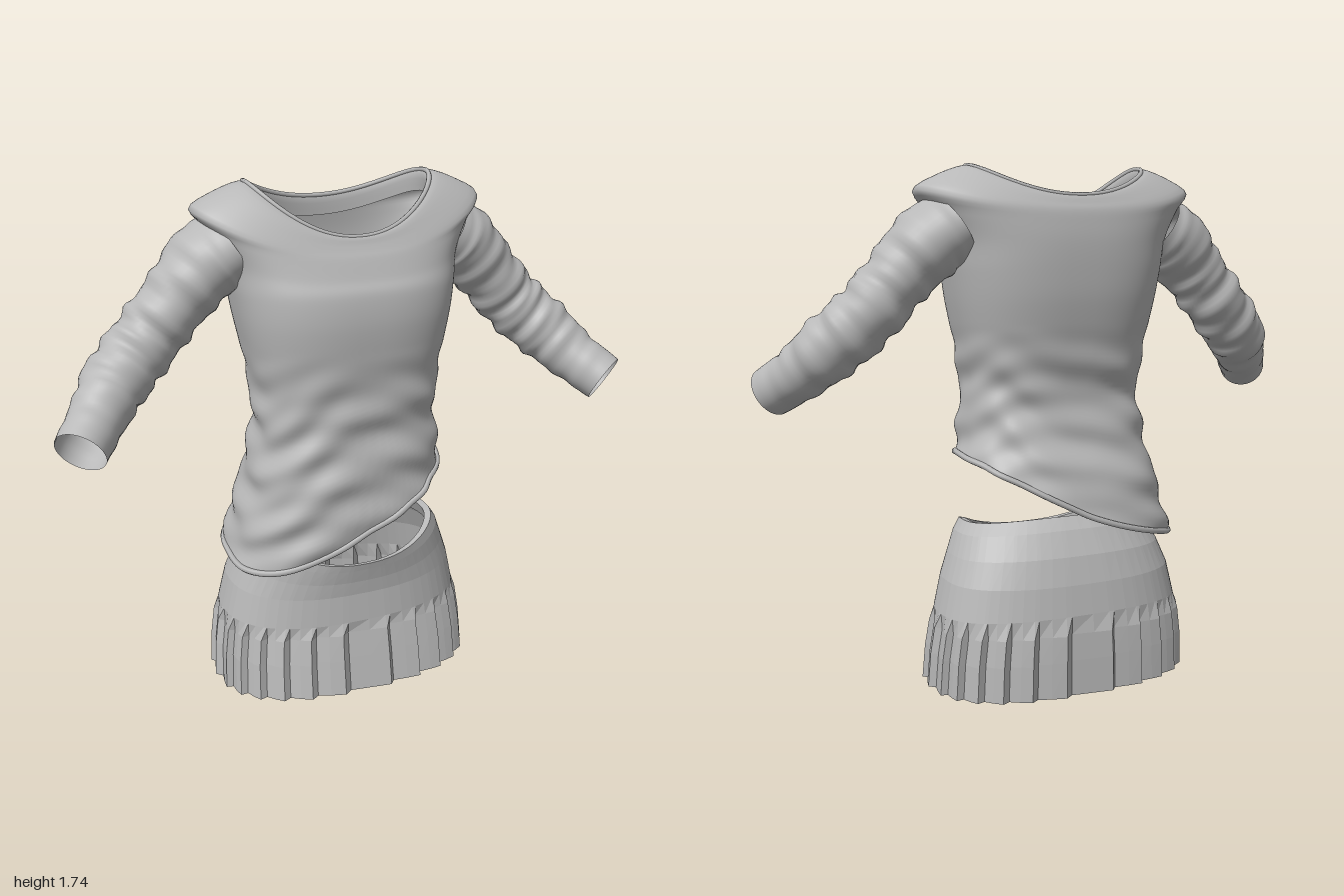
import * as THREE from 'three';

const fabric = new THREE.MeshStandardMaterial({ color: 0xb8b8b8, side: THREE.DoubleSide });
fabric.name = 'grey fabric';
const skirtFabric = fabric.clone();
skirtFabric.name = 'grey pleated fabric';
skirtFabric.flatShading = true;

// Skin closed rings of points, listed bottom to top
function loft(name, rings, material) {
  const n = rings[0].length, pos = [], idx = [];
  rings.forEach(r => r.forEach(p => pos.push(p.x, p.y, p.z)));
  for (let i = 0; i < rings.length - 1; i++) {
    for (let j = 0; j < n; j++) {
      const k = (j + 1) % n, a = i * n + j, b = i * n + k;
      idx.push(a, a + n, b, b, a + n, b + n);
    }
  }
  const g = new THREE.BufferGeometry();
  g.setAttribute('position', new THREE.Float32BufferAttribute(pos, 3));
  g.setIndex(idx);
  g.computeVertexNormals();
  const m = new THREE.Mesh(g, material);
  m.name = name;
  return m;
}

// Smooth interpolation through rows keyed by their first value
function sample(rows, t) {
  let i = 0;
  while (i < rows.length - 2 && t > rows[i + 1][0]) i++;
  const at = k => rows[Math.min(Math.max(k, 0), rows.length - 1)];
  const p0 = at(i - 1), p1 = at(i), p2 = at(i + 1), p3 = at(i + 2), h = p2[0] - p1[0];
  const u = Math.min(Math.max((t - p1[0]) / h, 0), 1), u2 = u * u, u3 = u2 * u;
  return p1.map((v, k) => {
    const m1 = (p2[k] - p0[k]) / (p2[0] - p0[0]) * h, m2 = (p3[k] - p1[k]) / (p3[0] - p1[0]) * h;
    return (2 * u3 - 3 * u2 + 1) * v + (u3 - 2 * u2 + u) * m1 + (3 * u2 - 2 * u3) * p2[k] + (u3 - u2) * m2;
  });
}

const spow = (v, e) => Math.sign(v) * Math.abs(v) ** e;

// Point on a section: half width, side height, front y/z, back y/z, roundness
function sectionPoint([, X, yS, yF, zF, yB, zB, e], a, bump = 0) {
  const c = Math.cos(a), s = Math.sin(a), mid = (zF + zB) / 2, half = (zF - zB) / 2 + bump;
  return new THREE.Vector3((X + bump) * spow(c, e), yS + ((s > 0 ? yF : yB) - yS) * s * s, mid + half * spow(s, e));
}

const level = (y, X, zF, zB, e = 0.75) => [y, X, y, y, zF, y, zB, e];
const bodice = [
  level(0.40, 0.405, 0.27, -0.27), level(0.52, 0.39, 0.28, -0.285), level(0.60, 0.37, 0.285, -0.285),
  level(0.75, 0.335, 0.285, -0.24), level(0.95, 0.305, 0.27, -0.18), level(1.10, 0.315, 0.275, -0.195),
  level(1.30, 0.355, 0.29, -0.228), level(1.40, 0.372, 0.28, -0.235),
  [1.50, 0.39, 1.50, 1.45, 0.255, 1.49, -0.235, 0.78],
  [1.60, 0.445, 1.60, 1.51, 0.228, 1.56, -0.228, 0.85],
  [1.65, 0.485, 1.655, 1.53, 0.216, 1.59, -0.222, 0.9],
  [1.70, 0.41, 1.70, 1.55, 0.205, 1.61, -0.212, 0.9],
  [1.75, 0.325, 1.73, 1.57, 0.195, 1.635, -0.198, 0.95],
  [1.78, 0.30, 1.72, 1.565, 0.18, 1.63, -0.185, 0.95],
  [1.83, 0.305, 1.66, 1.52, 0.185, 1.57, -0.185, 0.95],
];

// Slanted hem height
const hem = (x, z) => 0.605 + 0.5 * x + (x < 0 ? 0.35 * x * x + 0.3 * x * z : 0);

function bodicePoint(a, v) {
  const joint = 1.25;
  let lv = v;
  if (v < joint) {
    const h = hem(0.36 * spow(Math.cos(a), 0.75), 0.27 * spow(Math.sin(a), 0.75));
    lv = h + (joint - h) * (v - 0.6) / (joint - 0.6);
  }
  const w = Math.max(0, Math.min(1, (1.22 - lv) / 0.2));
  const x = Math.cos(a), fold = Math.sin(34 * lv - 5 * x + 1.6 * Math.sin(3 * a)) + 0.5 * Math.sin(55 * lv + 4 * Math.sin(2 * a + 1));
  return sectionPoint(sample(bodice, lv), a, 0.007 * w * fold);
}

const N = 96;
const angles = Array.from({ length: N }, (_, j) => j / N * Math.PI * 2);

function makeBodice() {
  const g = new THREE.Group(), rings = [];
  g.name = 'shirt';
  for (let i = 0; i <= 80; i++) rings.push(angles.map(a => bodicePoint(a, 0.6 + 1.23 * i / 80)));
  g.add(loft('bodice', rings, fabric));
  // Rolled hem and neck edging
  const edges = [['hemEdge', 0.6, 0.011], ['neckEdge', 1.765, 0.008]];
  for (const [name, v, r] of edges) {
    const curve = new THREE.CatmullRomCurve3(angles.map(a => bodicePoint(a, v)), true);
    const m = new THREE.Mesh(new THREE.TubeGeometry(curve, 140, r, 6, true), fabric);
    m.name = name;
    g.add(m);
  }
  return g;
}

// Sleeve stations: t, centre x y z, radius in the arm plane, radius in depth
const sleeveRows = [
  [0, 0.37, 1.535, -0.01, 0.115, 0.15], [0.15, 0.445, 1.485, -0.01, 0.122, 0.15],
  [0.32, 0.545, 1.38, 0, 0.108, 0.118], [0.5, 0.65, 1.26, 0.005, 0.107, 0.108],
  [0.7, 0.765, 1.15, 0.06, 0.104, 0.105], [0.84, 0.835, 1.075, 0.13, 0.09, 0.09],
  [1, 0.912, 1.005, 0.225, 0.083, 0.083],
];

function makeSleeve(side) {
  const rings = [], n = 40, steps = 60;
  const centre = t => new THREE.Vector3(...sample(sleeveRows, t).slice(1, 4));
  for (let i = 0; i <= steps; i++) {
    const t = i / steps, row = sample(sleeveRows, t), c = centre(t);
    const dir = centre(Math.min(t + 0.02, 1)).sub(centre(Math.max(t - 0.02, 0))).normalize();
    const up = new THREE.Vector3(0, 0, 1).cross(dir).normalize();
    const depth = dir.clone().cross(up);
    const ring = [];
    for (let j = 0; j < n; j++) {
      const a = side * j / n * Math.PI * 2;
      const w = Math.sin(Math.PI * t) * 0.006;
      const fold = w * (Math.sin(48 * t + 2 * Math.sin(a)) + 0.6 * Math.sin(85 * t + 2 * Math.cos(a + 1)));
      const p = c.clone().addScaledVector(up, (row[4] + fold) * Math.cos(a)).addScaledVector(depth, (row[5] + fold) * Math.sin(a));
      p.x *= side;
      ring.push(p);
    }
    rings.push(ring.reverse());
  }
  return loft(side > 0 ? 'leftSleeve' : 'rightSleeve', rings, fabric);
}

// Skirt sections from hem to waist, then down the inside of the band
const skirtRows = [
  [0, 0.457, 0, 0, 0.288, 0, -0.284, 0.8], [1, 0.45, 0.12, 0.12, 0.268, 0.12, -0.283, 0.8],
  [2, 0.437, 0.21, 0.21, 0.252, 0.21, -0.28, 0.8], [3, 0.43, 0.26, 0.25, 0.247, 0.27, -0.272, 0.8],
  [4, 0.405, 0.37, 0.35, 0.238, 0.37, -0.255, 0.8], [5, 0.375, 0.45, 0.40, 0.242, 0.46, -0.228, 0.82],
  [6, 0.345, 0.52, 0.445, 0.25, 0.54, -0.185, 0.85], [7, 0.318, 0.555, 0.47, 0.255, 0.58, -0.15, 0.88],
  [8, 0.295, 0.55, 0.467, 0.237, 0.575, -0.132, 0.88], [9, 0.315, 0.50, 0.43, 0.23, 0.52, -0.155, 0.88],
];

function makeSkirt() {
  const pleats = 26, cols = [];
  for (let p = 0; p < pleats; p++) {
    [0, 0.42, 0.84].forEach((f, k) => cols.push([(p + f) / pleats * Math.PI * 2, 0.01 - 0.01 * k]));
  }
  const rings = skirtRows.map((row, i) => cols.map(([a, d]) => sectionPoint(row, a, i < 3 ? d : 0)));
  return loft('skirt', rings, skirtFabric);
}

export function createModel() {
  const model = new THREE.Group();
  model.name = 'outfit';
  model.add(makeBodice(), makeSleeve(1), makeSleeve(-1), makeSkirt());
  return model;
}
